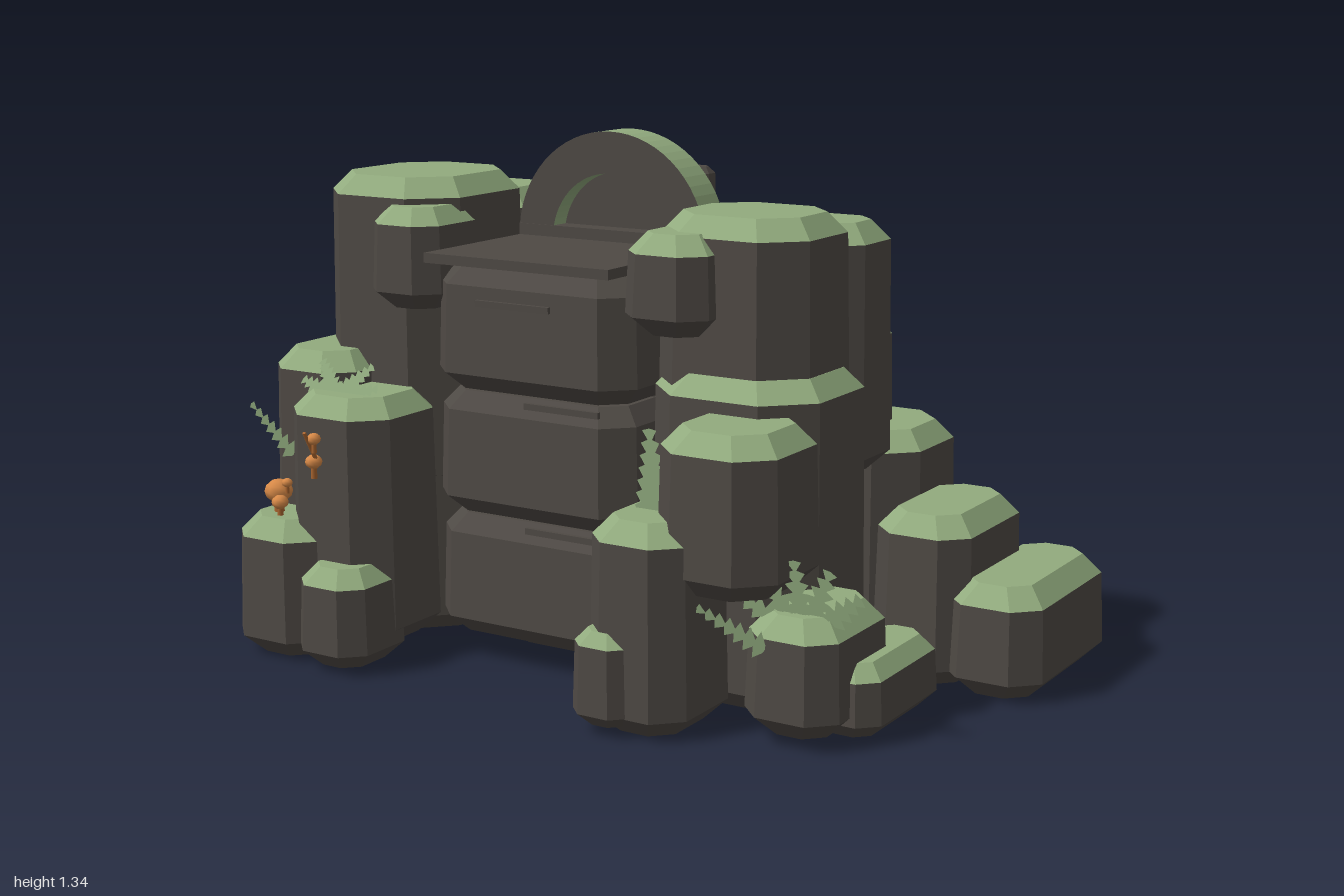
import * as THREE from 'three';

const mat = (name, color, side = THREE.FrontSide) => {
  const m = new THREE.MeshStandardMaterial({ color, side });
  m.name = name;
  return m;
};
const STONE = mat('stone', 0x4e4944);
const MOSS = mat('moss', 0x92ab7e);
const LEAF = mat('leaf', 0x8ca67a, THREE.DoubleSide);
const ORANGE = mat('orange mushroom', 0xd88a48);
const STALK = mat('mushroom stalk', 0xa8642f);

// Eight-sided outline of a rectangle with cut corners
function outline(x0, x1, z0, z1, cut, inset) {
  x0 += inset; x1 -= inset; z0 += inset; z1 -= inset;
  const c = cut - inset * 0.35;
  return [[x1, z0 + c], [x1, z1 - c], [x1 - c, z1], [x0 + c, z1],
    [x0, z1 - c], [x0, z0 + c], [x0 + c, z0], [x1 - c, z0]];
}

// Chamfered rock: stone sides, with the bevel and top in the cap material
function rock(group, name, [x0, x1, y0, y1, z0, z1], cap = MOSS, bevel = 0.05, cutAmount) {
  const small = Math.min(x1 - x0, z1 - z0);
  const b = Math.min(bevel, small * 0.2, (y1 - y0) * 0.25);
  const cut = cutAmount ?? small * 0.24;
  const levels = [[y0, b], [y0 + b, 0], [y1 - b, b * 0.15], [y1, b]];
  const rings = levels.map(([y, inset]) =>
    outline(x0, x1, z0, z1, cut, inset).map(([x, z]) => [x, y, z]));
  const pos = [];
  const tri = (...points) => points.forEach((p) => pos.push(...p));
  const bottom = [(x0 + x1) / 2, y0, (z0 + z1) / 2];
  const top = [bottom[0], y1, bottom[2]];
  let sideCount = 0;
  for (let i = 0; i < 8; i++) tri(bottom, rings[0][i], rings[0][(i + 1) % 8]);
  for (let k = 0; k < 3; k++) {
    if (k === 2) sideCount = pos.length / 3;
    for (let i = 0; i < 8; i++) {
      const j = (i + 1) % 8, lo = rings[k], hi = rings[k + 1];
      tri(lo[i], hi[i], lo[j]);
      tri(lo[j], hi[i], hi[j]);
    }
  }
  for (let i = 0; i < 8; i++) tri(top, rings[3][(i + 1) % 8], rings[3][i]);
  const g = new THREE.BufferGeometry();
  g.setAttribute('position', new THREE.Float32BufferAttribute(pos, 3));
  g.addGroup(0, sideCount, 0);
  g.addGroup(sideCount, pos.length / 3 - sideCount, 1);
  g.computeVertexNormals();
  return add(group, name, g, [STONE, cap]);
}

function add(group, name, geometry, material, x = 0, y = 0, z = 0) {
  const m = new THREE.Mesh(geometry, material);
  m.name = name;
  m.position.set(x, y, z);
  group.add(m);
  return m;
}

// Flat frond with saw-toothed edges; fill sets how deep the notches are
function frond(group, length, width, fill, x, y, z, rx, rz) {
  const s = new THREE.Shape();
  const n = 7;
  const half = Array.from({ length: n }, (_, i) => [
    [width * fill * (1 - i / n), length * (i + 0.1) / n],
    [width * (1 - i / n * 0.75), length * (i + 0.85) / n]]).flat();
  s.moveTo(0, 0);
  half.forEach(([px, py]) => s.lineTo(px, py));
  s.lineTo(0, length);
  half.reverse().forEach(([px, py]) => s.lineTo(-px, py));
  add(group, 'fernFrond', new THREE.ShapeGeometry(s), LEAF, x, y, z).rotation.set(rx, 0, rz);
}

// Half disc or half ring standing on y = 0
function halfDisc(outer, inner, depth) {
  const s = new THREE.Shape();
  s.absarc(0, 0, outer, 0, Math.PI, false);
  if (inner) s.absarc(0, 0, inner, Math.PI, 0, true);
  return new THREE.ExtrudeGeometry(s, { depth, bevelEnabled: false, curveSegments: 16 });
}

export function createModel() {
  const model = new THREE.Group();
  model.name = 'rockShrine';
  const rocks = new THREE.Group();
  rocks.name = 'mossyRocks';
  model.add(rocks);

  // Rocks as [x0, x1, y0, y1, z0, z1]
  const list = {
    rightTower: [-0.935, -0.5, 0.4, 1.225, -0.18, 0.3],
    rightTowerBack: [-0.93, -0.5, 0.4, 1.17, -0.345, 0],
    rightTowerKnob: [-0.7, -0.48, 0.9, 1.16, 0.1, 0.365],
    rightShoulder: [-1.0, -0.72, 0.28, 0.775, 0.04, 0.43],
    rightCore: [-0.91, -0.5, 0.02, 0.74, -0.3, 0.3],
    rightPillar: [-0.86, -0.53, 0.04, 0.69, 0.2, 0.545],
    rightFrontLow: [-0.985, -0.71, 0, 0.365, 0.24, 0.61],
    rightFrontSmall: [-0.75, -0.53, 0.01, 0.27, 0.38, 0.635],
    leftTower: [0.09, 0.51, 0.7, 1.185, -0.11, 0.28],
    leftTowerBack: [0.1, 0.505, 0.5, 1.14, -0.33, -0.04],
    leftTowerKnob: [0.07, 0.305, 0.9, 1.145, 0.1, 0.365],
    leftCore: [0.09, 0.56, 0, 0.81, -0.13, 0.33],
    leftShoulder: [0.265, 0.59, 0.34, 0.73, 0.2, 0.555],
    leftPillar: [0.125, 0.395, 0, 0.515, 0.3, 0.62],
    leftFrontSmall: [0.115, 0.275, 0.02, 0.25, 0.43, 0.65],
    leftFrontLow: [0.48, 0.73, 0.02, 0.31, 0.13, 0.495],
    leftFrontLower: [0.6, 0.79, 0.01, 0.19, -0.005, 0.385],
    outerLow: [0.73, 0.995, 0, 0.285, -0.585, -0.06],
    outerMiddle: [0.53, 0.8, 0, 0.435, -0.5, -0.065],
    outerBack: [0.5, 0.86, 0, 0.21, -0.645, -0.3],
    backLeft: [0.165, 0.565, 0, 0.585, -0.635, -0.23],
    backLeftLow: [0.02, 0.35, 0, 0.17, -0.65, -0.35],
    backMiddle: [-0.28, 0.18, 0, 0.63, -0.65, -0.25],
    backRight: [-0.675, -0.27, 0, 0.53, -0.605, -0.2],
    backFarRight: [-0.905, -0.5, 0, 0.58, -0.51, -0.1],
    upperBackLeft: [-0.14, 0.425, 0.3, 0.865, -0.52, -0.2],
    upperBackRight: [-0.745, -0.3, 0.3, 0.86, -0.46, -0.15],
    upperBackMiddle: [-0.5, 0.105, 0.4, 1.05, -0.43, -0.2],
  };
  for (const [name, box] of Object.entries(list)) rock(rocks, name, box);

  // Central stack of three stone blocks, with a slot on each
  const shrine = new THREE.Group();
  shrine.name = 'stoneStack';
  model.add(shrine);
  rock(shrine, 'stackCore', [-0.47, 0.06, 0.02, 1.03, -0.3, 0.24], STONE);
  for (let i = 0; i < 3; i++) {
    const y = 0.07 + i * 0.32;
    rock(shrine, 'stackBlock', [-0.51, 0.09, y, y + 0.315, -0.1, 0.355], STONE, 0.045, 0.07);
    add(shrine, 'slot', new THREE.BoxGeometry(0.22, 0.016, 0.012), STONE,
      i === 2 ? -0.23 : -0.1, y + (i === 2 ? 0.23 : 0.3), i === 2 ? 0.354 : 0.335);
  }
  add(shrine, 'topSlab', new THREE.BoxGeometry(0.55, 0.025, 0.5), STONE, -0.21, 1.045, 0.125);

  // Arch with a mossy outer rim and a recessed face
  add(shrine, 'arch', halfDisc(0.288, 0.18, 0.105), [STONE, MOSS], -0.2, 1.053, -0.145);
  add(shrine, 'archFace', halfDisc(0.182, 0, 0.045), STONE, -0.2, 1.055, -0.14);
  add(shrine, 'archSill', new THREE.BoxGeometry(0.57, 0.035, 0.105), STONE, -0.2, 1.07, -0.09);
  rock(shrine, 'archBackPanel', [-0.42, 0.02, 0.95, 1.25, -0.23, -0.145], STONE, 0.035, 0.025);

  // Ferns
  const ferns = new THREE.Group();
  ferns.name = 'ferns';
  model.add(ferns);
  frond(ferns, 0.18, 0.035, 0.25, -0.86, 0.51, 0.46, 0.1, 0.8);
  // Fan over the low rocks at the left front
  for (let i = 0; i < 5; i++) {
    frond(ferns, 0.19, 0.055, 0.55, 0.62, 0.25, 0.4 + i * 0.004, 0.1, -0.9 + i * 0.5);
  }
  frond(ferns, 0.19, 0.04, 0.3, 0.57, 0.24, 0.5, 0.2, 1.15);
  // Broad fronds on the two pillars
  frond(ferns, 0.21, 0.055, 0.8, 0.25, 0.5, 0.46, 0, 0.08);
  for (const a of [1.25, 0.7, -0.7, -1.25]) {
    frond(ferns, 0.13, 0.04, 0.7, -0.72, 0.675, 0.455, -0.6, a);
  }

  // Mushrooms
  const mushrooms = new THREE.Group();
  mushrooms.name = 'mushrooms';
  model.add(mushrooms);
  for (const [x, y, z, r] of [[-0.88, 0.42, 0.5, 0.037], [-0.85, 0.4, 0.53, 0.022],
    [-0.81, 0.46, 0.545, 0.014], [-0.71, 0.53, 0.555, 0.022], [-0.69, 0.595, 0.575, 0.018]]) {
    const cap = add(mushrooms, 'mushroomCap', new THREE.SphereGeometry(r, 8, 6), ORANGE, x, y, z);
    cap.scale.y = 0.85;
    add(mushrooms, 'mushroomStalk', new THREE.CylinderGeometry(r * 0.3, r * 0.4, r * 2, 6),
      STALK, x, y - r, z);
  }
  const twig = add(mushrooms, 'twig', new THREE.CylinderGeometry(0.005, 0.006, 0.1, 6),
    STALK, -0.7, 0.57, 0.575);
  twig.rotation.x = 0.5;
  return model;
}
